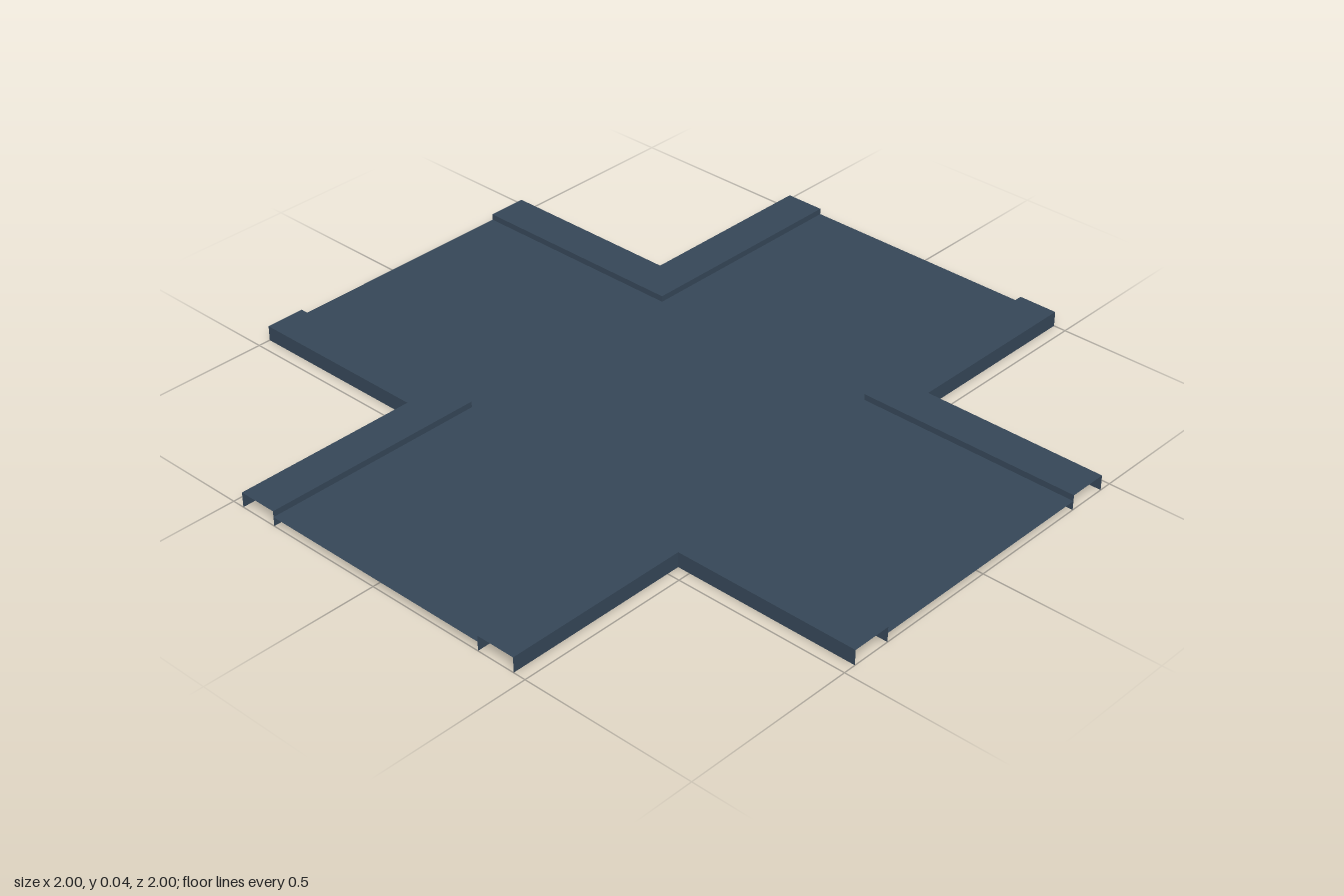
import * as THREE from 'three';

const INNER = 0.35, OUTER = 0.464, END = 1, TOP = 0.043, ROAD_Y = 0.026;

// Open channel section swept along an L-shaped path around one corner
function curbGeometry() {
  const section = [[INNER, 0], [INNER, TOP], [OUTER, TOP], [OUTER, 0]];
  const rails = section.map(([d, y]) => [[d, y, END], [d, y, d], [END, y, d]]);
  const positions = [];
  for (let s = 0; s < 3; s++) {
    for (let k = 0; k < 2; k++) {
      const a = rails[s][k], b = rails[s][k + 1];
      const c = rails[s + 1][k + 1], d = rails[s + 1][k];
      positions.push(...a, ...c, ...b, ...a, ...d, ...c);
    }
  }
  const geometry = new THREE.BufferGeometry();
  geometry.setAttribute('position', new THREE.Float32BufferAttribute(positions, 3));
  geometry.computeVertexNormals();
  return geometry;
}

// Flat cross-shaped road surface
function roadGeometry() {
  const i = INNER, e = END;
  const outline = [
    [i, e], [-i, e], [-i, i], [-e, i], [-e, -i], [-i, -i],
    [-i, -e], [i, -e], [i, -i], [e, -i], [e, i], [i, i],
  ].map(([x, y]) => new THREE.Vector2(x, y));
  return new THREE.ShapeGeometry(new THREE.Shape(outline)).rotateX(-Math.PI / 2);
}

export function createModel() {
  const model = new THREE.Group();
  model.name = 'crossroads';
  const slate = new THREE.MeshStandardMaterial({ color: 0x354657, side: THREE.DoubleSide });
  slate.name = 'slate blue';

  const road = new THREE.Mesh(roadGeometry(), slate);
  road.name = 'road';
  road.position.y = ROAD_Y;
  model.add(road);

  // One raised sidewalk in each corner
  const geometry = curbGeometry();
  ['frontLeft', 'backLeft', 'backRight', 'frontRight'].forEach((corner, n) => {
    const sidewalk = new THREE.Mesh(geometry, slate);
    sidewalk.name = `${corner}Sidewalk`;
    sidewalk.rotation.y = n * Math.PI / 2;
    model.add(sidewalk);
  });
  return model;
}
